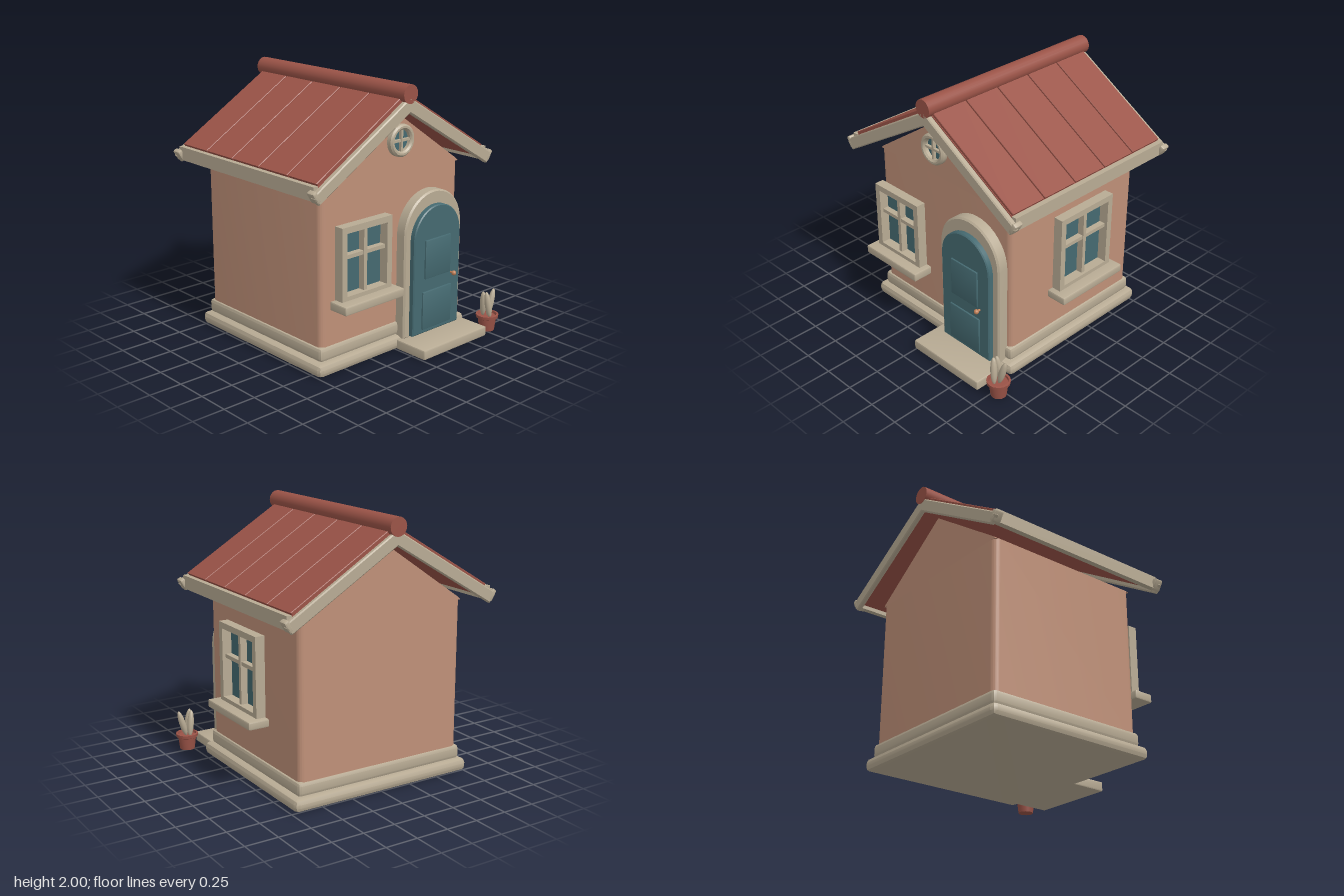
import * as THREE from 'three';
import { toCreasedNormals } from 'three/addons/utils/BufferGeometryUtils.js';
import { RoundedBoxGeometry } from 'three/addons/geometries/RoundedBoxGeometry.js';

const CX = -0.015; // centre line of the house
const FRONT = 0.55, BACK = -0.724;

function makeMaterial(name, color) {
  const m = new THREE.MeshStandardMaterial({ color });
  m.name = name;
  return m;
}

export function createModel() {
  const plaster = makeMaterial('plaster', 0xbf9078);
  const stone = makeMaterial('stone', 0xb8ab94);
  const tile = makeMaterial('roofTile', 0x9a5347);
  const teal = makeMaterial('teal', 0x456a71);
  const copper = makeMaterial('copper', 0xc08058);
  const model = new THREE.Group();
  model.name = 'cottage';

  function add(parent, name, geometry, material, x = 0, y = 0, z = 0) {
    const mesh = new THREE.Mesh(geometry, material);
    mesh.name = name;
    mesh.position.set(x, y, z);
    parent.add(mesh);
    return mesh;
  }

  // Box given by its limits, with chamfered edges when c > 0
  function block(parent, name, material, [x0, x1], [y0, y1], [z0, z1], c = 0) {
    const size = [x1 - x0, y1 - y0, z1 - z0];
    const geo = c ? toCreasedNormals(new RoundedBoxGeometry(...size, 1, c), 0.4) : new THREE.BoxGeometry(...size);
    return add(parent, name, geo, material, (x0 + x1) / 2, (y0 + y1) / 2, (z0 + z1) / 2);
  }

  // Shape extruded from z0 to z1, bevel kept inside the outline
  function extrude(shape, z0, z1, b = 0, curveSegments = 8) {
    const geo = new THREE.ExtrudeGeometry(shape, {
      depth: z1 - z0 - 2 * b, bevelEnabled: b > 0, bevelSize: b, bevelThickness: b,
      bevelOffset: -b, bevelSegments: 1, curveSegments,
    });
    return toCreasedNormals(geo.translate(0, 0, z0 + b), 0.5);
  }

  const polygon = (pts) => new THREE.Shape(pts.map(([x, y]) => new THREE.Vector2(x, y)));
  const rect = (x0, x1, y0, y1) => polygon([[x0, y0], [x1, y0], [x1, y1], [x0, y1]]);

  // Plinth
  block(model, 'lowerPlinth', stone, [-0.76, 0.73], [0.01, 0.105], [-0.777, 0.61], 0.035);
  block(model, 'upperPlinth', stone, [-0.715, 0.685], [0.105, 0.21], [-0.74, 0.568], 0.025);

  // Walls with rounded corner posts
  const hw = 0.682, hd = (FRONT - BACK) / 2, r = 0.045;
  const plan = new THREE.Shape();
  plan.moveTo(-hw + r, -hd).lineTo(hw - r, -hd);
  plan.absarc(hw - r, -hd + r, r, -Math.PI / 2, 0);
  plan.absarc(hw - r, hd - r, r, 0, Math.PI / 2);
  plan.absarc(-hw + r, hd - r, r, Math.PI / 2, Math.PI);
  plan.absarc(-hw + r, -hd + r, r, Math.PI, Math.PI * 1.5);
  const wallGeo = extrude(plan, 0.18, 1.33).rotateX(-Math.PI / 2);
  add(model, 'walls', wallGeo, plaster, CX, 0, (FRONT + BACK) / 2);
  const gable = polygon([[-0.68, 1.325], [0.68, 1.325], [0.66, 1.345], [0, 1.8], [-0.66, 1.345]]);
  add(model, 'gables', extrude(gable, BACK, FRONT), plaster, CX);

  // Roof: chevron sections following one pitch
  const pitch = 0.605;
  function chevron(top, bottom, reach) {
    const drop = pitch * reach;
    return polygon([[0, top], [-reach, top - drop], [-reach + 0.02, bottom - drop + 0.012], [0, bottom],
      [reach - 0.02, bottom - drop + 0.012], [reach, top - drop]]);
  }
  const roof = new THREE.Group();
  roof.name = 'roof';
  roof.position.x = CX;
  model.add(roof);
  add(roof, 'roofDeck', extrude(chevron(1.912, 1.84, 0.82), -0.845, 0.67), tile);
  const strip = 1.515 / 5;
  for (let i = 0; i < 5; i++) {
    const z = -0.845 + i * strip;
    add(roof, 'roofPanel', extrude(chevron(1.938, 1.9, 0.815), z + 0.005, z + strip - 0.005, 0.004), tile);
  }
  const barge = polygon([[0, 1.91], [-0.86, 1.39], [-0.872, 1.36], [-0.825, 1.308], [0, 1.802],
    [0.825, 1.308], [0.872, 1.36], [0.86, 1.39]]);
  for (const [z0, z1] of [[0.668, 0.713], [-0.882, -0.843]]) {
    add(roof, 'bargeBoard', extrude(barge, z0, z1, 0.008), stone);
  }
  for (const side of [-1, 1]) {
    const fascia = new THREE.BoxGeometry(0.04, 0.1, 1.52);
    add(roof, 'eaveFascia', fascia, stone, side * 0.828, 1.38, -0.087);
    for (const z of [0.677, -0.846]) {
      const end = toCreasedNormals(new RoundedBoxGeometry(0.04, 0.09, 0.074, 1, 0.012), 0.4);
      add(roof, 'eaveEnd', end, stone, side * 0.847, 1.365, z).rotation.z = -side * 0.54;
    }
  }
  const ridge = new THREE.CylinderGeometry(0.068, 0.068, 1.598, 20).rotateX(Math.PI / 2);
  add(roof, 'ridgeCap', ridge, tile, 0, 1.934, -0.086);

  // Framed window facing +z, standing off the wall
  function windowUnit(name, w, y0, y1, midY, sillW, sillY) {
    const g = new THREE.Group();
    g.name = name;
    const h = w / 2, t = 0.046;
    const frame = rect(-h, h, y0, y1);
    frame.holes.push(rect(-h + t, h - t, sillY[1] + 0.03, y1 - t));
    add(g, 'windowFrame', extrude(frame, 0.052, 0.125), stone);
    block(g, 'glass', teal, [-h + 0.02, h - 0.02], [y0 + 0.03, y1 - 0.025], [0.043, 0.052]);
    block(g, 'uprightBar', stone, [-0.015, 0.015], [y0 + 0.02, y1 - 0.02], [0.053, 0.105]);
    block(g, 'crossBar', stone, [-h + 0.02, h - 0.02], [midY - 0.014, midY + 0.014], [0.053, 0.1]);
    block(g, 'windowSill', stone, [-sillW / 2, sillW / 2], sillY, [0.047, 0.209], 0.01);
    model.add(g);
    return g;
  }
  windowUnit('frontWindow', 0.472, 0.55, 1.1, 0.876, 0.56, [0.505, 0.57]).position.set(-0.386, 0, 0.561);
  const sideWindow = windowUnit('sideWindow', 0.535, 0.57, 1.175, 0.92, 0.625, [0.525, 0.585]);
  sideWindow.position.set(0.668, 0, -0.0875);
  sideWindow.rotation.y = Math.PI / 2;

  // Round gable window
  const round = new THREE.Group();
  round.name = 'roundWindow';
  round.position.set(CX, 1.598, 0);
  model.add(round);
  const ring = new THREE.Shape().absarc(0, 0, 0.117, 0, Math.PI * 2);
  ring.holes.push(new THREE.Path().absarc(0, 0, 0.078, 0, Math.PI * 2, true));
  add(round, 'roundFrame', extrude(ring, 0.592, 0.65, 0.012, 10), stone);
  const disc = new THREE.CylinderGeometry(0.1, 0.1, 0.009, 20).rotateX(Math.PI / 2);
  add(round, 'roundGlass', disc, teal, 0, 0, 0.607);
  block(round, 'roundUpright', stone, [-0.009, 0.009], [-0.09, 0.09], [0.612, 0.636]);
  block(round, 'roundCrossBar', stone, [-0.09, 0.09], [-0.009, 0.009], [0.612, 0.634]);

  // Arched door
  function arch(half, base, spring) {
    const s = new THREE.Shape();
    s.moveTo(-half, base).lineTo(half, base).lineTo(half, spring);
    s.absarc(0, spring, half, 0, Math.PI);
    s.lineTo(-half, base);
    return s;
  }
  const door = new THREE.Group();
  door.name = 'door';
  door.position.x = 0.333;
  model.add(door);
  const surround = arch(0.298, 0.085, 0.878);
  surround.holes.push(arch(0.235, 0.1, 0.832));
  add(door, 'doorSurround', extrude(surround, 0.53, 0.634, 0.012, 10), stone);
  add(door, 'doorLeaf', extrude(arch(0.243, 0.103, 0.832), 0.56, 0.676, 0.008, 10), teal);
  block(door, 'upperDoorPanel', teal, [-0.135, 0.134], [0.53, 0.828], [0.66, 0.688], 0.006);
  block(door, 'lowerDoorPanel', teal, [-0.155, 0.15], [0.137, 0.432], [0.66, 0.688], 0.006);
  const stem = new THREE.CylinderGeometry(0.009, 0.009, 0.05, 8).rotateX(Math.PI / 2);
  add(door, 'knobStem', stem, copper, 0.15, 0.518, 0.69);
  add(door, 'doorKnob', new THREE.SphereGeometry(0.019, 12, 8), copper, 0.15, 0.518, 0.708);
  block(model, 'doorStep', stone, [-0.006, 0.67], [0.015, 0.09], [0.54, 0.885], 0.01);

  // Potted plant
  const pot = new THREE.Group();
  pot.name = 'pottedPlant';
  pot.position.set(0.79, 0, 0.79);
  model.add(pot);
  const profile = [[0, 0.005], [0.058, 0.005], [0.07, 0.1], [0.085, 0.108], [0.087, 0.132], [0.072, 0.134],
    [0.068, 0.115], [0, 0.115]].map(([x, y]) => new THREE.Vector2(x, y));
  add(pot, 'pot', toCreasedNormals(new THREE.LatheGeometry(profile, 16), 0.6), tile);
  // Each leaf runs from a base point to a tip point
  const leaves = [[[0.005, 0.11, 0], [0.068, 0.32, 0]],
    [[-0.008, 0.11, 0.036], [-0.036, 0.322, 0.014]],
    [[-0.008, 0.11, -0.036], [-0.036, 0.318, -0.014]]];
  for (const [a, b] of leaves) {
    const base = new THREE.Vector3(...a), axis = new THREE.Vector3(...b).sub(base);
    const geo = new THREE.SphereGeometry(1, 10, 8).scale(0.026, axis.length() / 2, 0.026);
    const leaf = add(pot, 'leaf', geo, stone);
    leaf.position.copy(base).addScaledVector(axis, 0.5);
    leaf.quaternion.setFromUnitVectors(new THREE.Vector3(0, 1, 0), axis.normalize());
  }
  return model;
}
